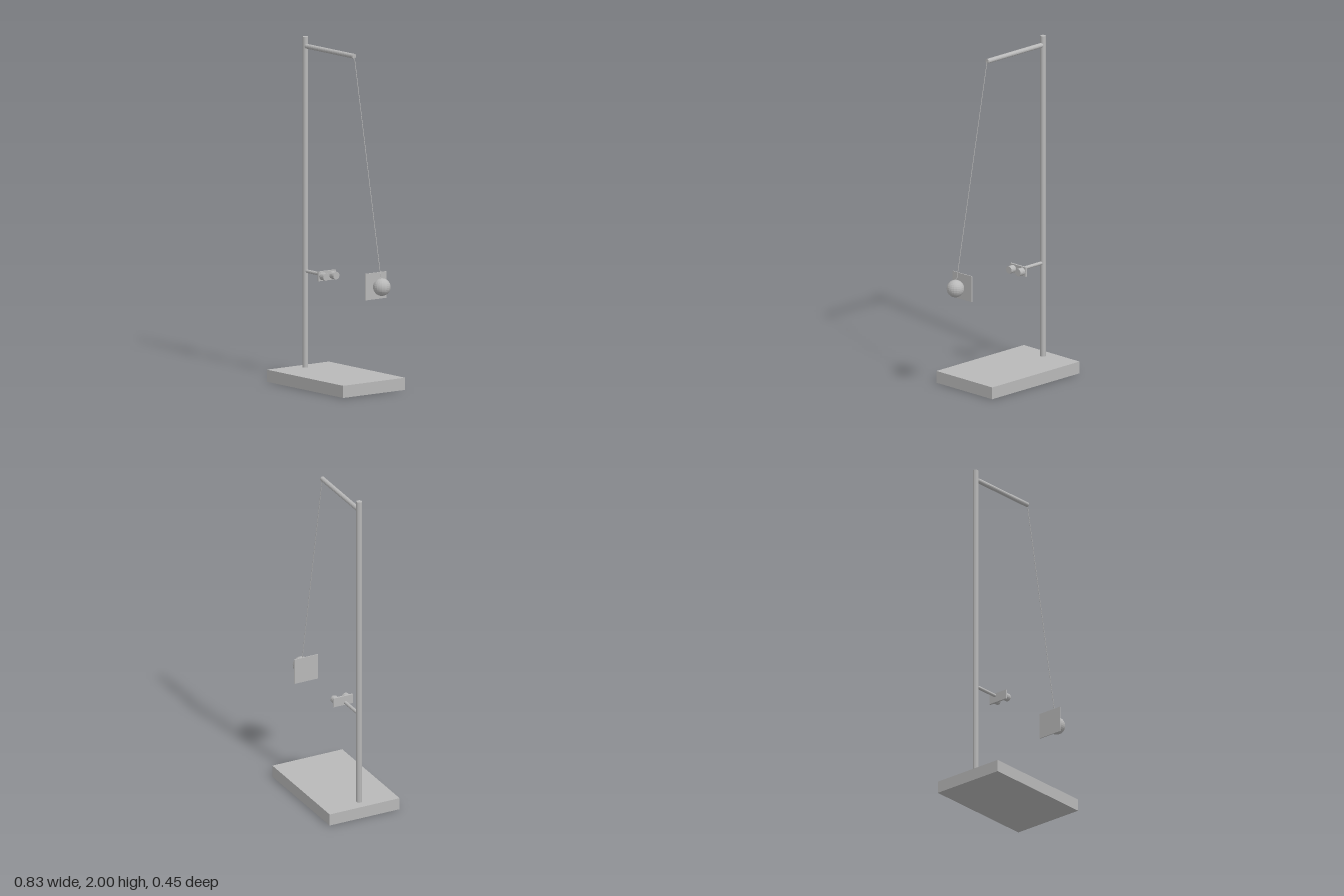
import * as THREE from 'three';

export function createModel() {
  const group = new THREE.Group();
  const grey = new THREE.MeshStandardMaterial({ color: 0xb8b8b8, flatShading: true });
  grey.name = 'grey';

  const add = (name, geometry, x = 0, y = 0, z = 0) => {
    const mesh = new THREE.Mesh(geometry, grey);
    mesh.name = name;
    mesh.position.set(x, y, z);
    group.add(mesh);
    return mesh;
  };

  // Round bar between two points
  const rod = (name, from, to, radius, sides = 16) => {
    const a = new THREE.Vector3(...from);
    const b = new THREE.Vector3(...to);
    const dir = b.clone().sub(a);
    const mesh = add(name, new THREE.CylinderGeometry(radius, radius, dir.length(), sides));
    mesh.position.copy(a).lerp(b, 0.5);
    mesh.quaternion.setFromUnitVectors(new THREE.Vector3(0, 1, 0), dir.normalize());
    return mesh;
  };

  const postX = -0.348;
  const armY = 1.945;
  const bobX = 0.365;
  const bobY = 0.633;

  // Stand
  add('base', new THREE.BoxGeometry(0.711, 0.071, 0.454), -0.0625, 0.0355, 0);
  rod('post', [postX, 0.071, 0], [postX, 2, 0], 0.0165);
  rod('topArm', [postX, armY, 0], [0.108, armY, 0], 0.014);

  // Swinging bob with its reflector plate
  rod('string', [0.108, armY, 0], [bobX, bobY, 0], 0.002, 8);
  add('bob', new THREE.SphereGeometry(0.051, 20, 14), bobX, bobY, 0);
  add('reflectorPlate', new THREE.BoxGeometry(0.005, 0.155, 0.155), 0.308, bobY, 0);

  // Distance sensor facing the bob
  rod('sensorArm', [postX, bobY, 0], [-0.178, bobY, 0], 0.01);
  add('sensorBoard', new THREE.BoxGeometry(0.011, 0.056, 0.126), -0.149, bobY, 0);
  for (const z of [-0.037, 0.037]) {
    rod('sensorEye', [-0.144, bobY, z], [-0.106, bobY, z], 0.0225);
  }

  return group;
}
